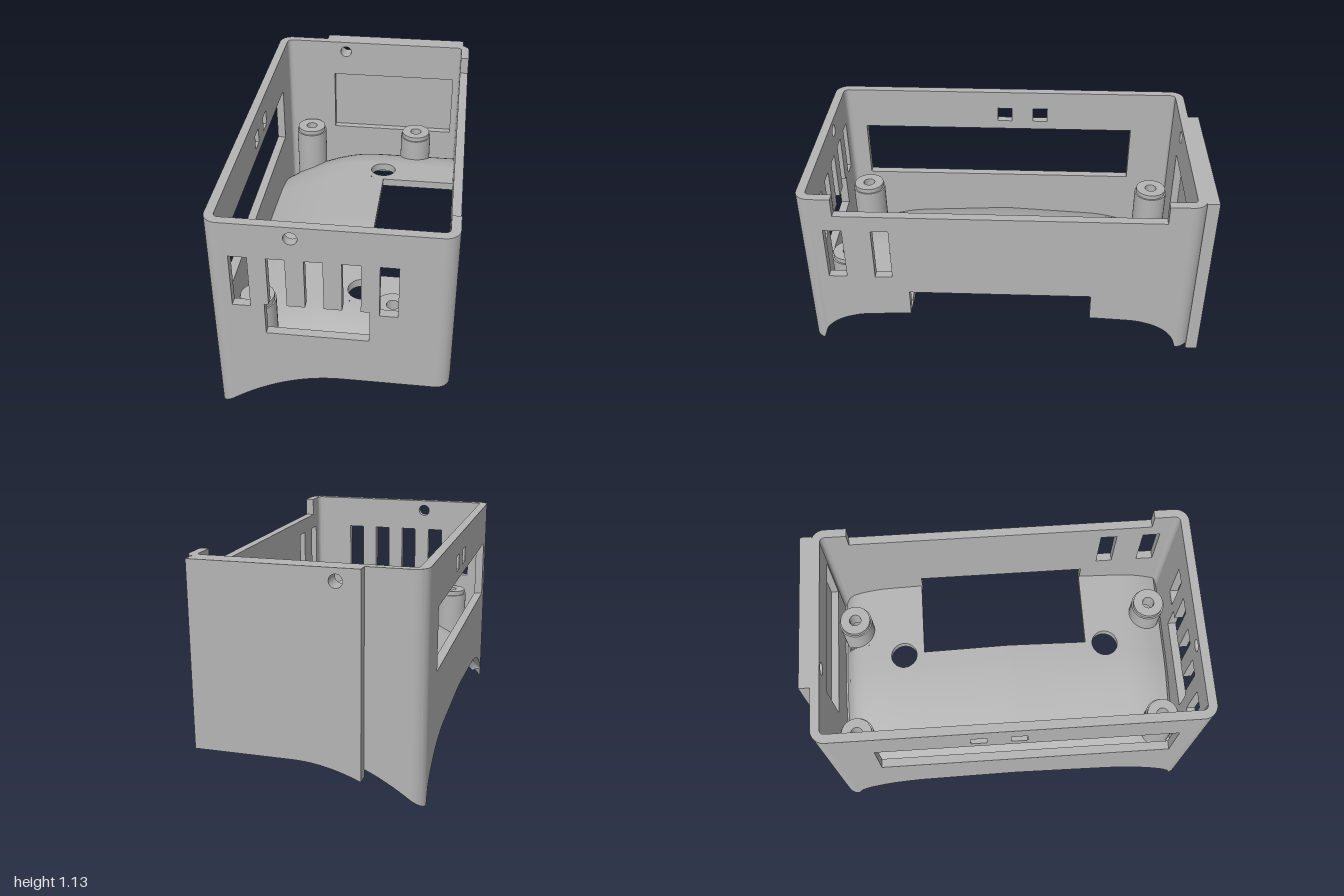
import * as THREE from 'three';
import { toCreasedNormals } from 'three/addons/utils/BufferGeometryUtils.js';

const HX = 0.565, ZF = 1, ZB = -0.945, TOP = 1.13, WALL = 0.045, R = 0.07;
const clamp = THREE.MathUtils.clamp;

// Height of the arched underside at a plan position
function under(x, z) {
  const d = Math.min(Math.abs(z - 0.04), 0.91);
  const e = Math.max(0, (d - 0.66) / 0.25);
  const arch = 0.46 - 0.055 * Math.min(d, 0.75) - 0.17 * (1 - Math.sqrt(Math.max(0, 1 - e * e)));
  const t = clamp((0.05 - x) / 0.615, 0, 1);
  return Math.max(0, arch - (0.19 + 0.06 * THREE.MathUtils.smoothstep(d, 0.5, 0.88)) * t * t);
}

// Height of the floor's upper face
function over(x, z) {
  const s = (under(x, z + 0.01) - under(x, z - 0.01)) / 0.02;
  return under(x, z) + WALL * Math.min(1.8, Math.hypot(1, s));
}

// Drop all low vertices onto the underside surface
function fitBottom(geo, lift = 0) {
  const p = geo.attributes.position;
  for (let i = 0; i < p.count; i++) {
    if (p.getY(i) < 0.48) p.setY(i, under(p.getX(i), p.getZ(i)) + lift);
  }
  return toCreasedNormals(geo, 0.6);
}

const rect = (u0, u1, y0, y1) => [[u0, y0], [u1, y0], [u1, y1], [u0, y1]];
const toPath = (pts) => new THREE.Path(pts.map(([u, y]) => new THREE.Vector2(u, y)));

function roundHole(u, y, r) {
  const p = new THREE.Path();
  p.absarc(u, y, r, 0, Math.PI * 2);
  return p;
}

// Evenly stepped points along a wall's lower edge
function lowerEdge(u0, u1, height, n = 40) {
  return Array.from({ length: n + 1 }, (_, i) => {
    const u = u0 + (u1 - u0) * i / n;
    return [u, height(u)];
  });
}

function plate(outline, holes, depth) {
  const s = new THREE.Shape(outline.map(([u, y]) => new THREE.Vector2(u, y)));
  s.holes.push(...holes);
  return new THREE.ExtrudeGeometry(s, { depth, bevelEnabled: false, curveSegments: 20 });
}

// Quarter-round upright joining two walls
function cornerGeometry(sx, sz) {
  const s = new THREE.Shape();
  s.absarc(0, 0, R, 0, Math.PI / 2, false);
  s.absarc(0, 0, R - WALL, Math.PI / 2, 0, true);
  const g = new THREE.ExtrudeGeometry(s, { depth: TOP, bevelEnabled: false, curveSegments: 10 });
  g.rotateX(-Math.PI / 2);
  const turn = sx > 0 ? (sz > 0 ? -Math.PI / 2 : 0) : (sz > 0 ? Math.PI : Math.PI / 2);
  g.rotateY(turn);
  g.translate(sx * (HX - R), 0, sz > 0 ? ZF - R : ZB + R);
  return fitBottom(g);
}

const POSTS = [[-0.375, -0.8], [0.275, -0.8], [-0.375, 0.84], [0.275, 0.84]];
const OPEN = { x: 0.11, z0: -0.43, z1: 0.48 };

// Arched floor shell with round holes and a rectangular opening
function floorGeometry() {
  const x0 = -0.52, x1 = 0.52, z0 = -0.9, z1 = 0.955, q = 0.09;
  const holes = POSTS.map(([x, z]) => ({ x, z, r: 0.055 }));
  holes.push({ x: 0.1, z: -0.545, r: 0.072 }, { x: 0.1, z: 0.59, r: 0.072 });
  const out = [];
  const tri = (a, b, c) => out.push(...a, ...b, ...c);
  const at = (p, h) => [p[0], h(p[0], p[1]), p[1]];
  const quad = (a, b, c, d) => {
    const area = (c[0] - a[0]) * (d[1] - b[1]) - (c[1] - a[1]) * (d[0] - b[0]);
    const [e, f, g, k] = area > 0 ? [a, d, c, b] : [a, b, c, d];
    const t = [e, f, g, k].map((p) => at(p, over));
    const u = [e, f, g, k].map((p) => at(p, under));
    tri(t[0], t[1], t[2]); tri(t[0], t[2], t[3]);
    tri(u[0], u[2], u[1]); tri(u[0], u[3], u[2]);
  };
  const rim = (a, b) => {
    const [p, s, t, u] = [at(a, under), at(b, under), at(b, over), at(a, over)];
    tri(p, s, t); tri(p, t, u);
  };
  // Grid lines include every hole square and the opening's edges
  const lines = (lo, hi, step, extra) => {
    const all = [...extra, lo, hi];
    for (let v = lo; v < hi; v += step) if (all.every((w) => Math.abs(w - v) > step * 0.4)) all.push(v);
    return [...new Set(all.map((v) => +v.toFixed(4)))].sort((a, b) => a - b);
  };
  const xs = lines(x0, x1, 0.05, [OPEN.x, ...holes.flatMap((h) => [h.x - q, h.x + q])]);
  const zs = lines(z0, z1, 0.035, [OPEN.z0, OPEN.z1, ...holes.flatMap((h) => [h.z - q, h.z + q])]);
  for (let i = 0; i + 1 < xs.length; i++) {
    for (let j = 0; j + 1 < zs.length; j++) {
      const [a, b, c, d] = [xs[i], xs[i + 1], zs[j], zs[j + 1]];
      const mx = (a + b) / 2, mz = (c + d) / 2;
      if (holes.some((h) => Math.abs(mx - h.x) < q && Math.abs(mz - h.z) < q)) continue;
      if (mx > OPEN.x && mz > OPEN.z0 && mz < OPEN.z1) continue;
      quad([a, c], [b, c], [b, d], [a, d]);
    }
  }
  // Square-to-circle patches around the holes
  const N = 32, M = 3;
  for (const h of holes) {
    const pt = (i, k) => {
      const t = i / N * Math.PI * 2, c = Math.cos(t), s = Math.sin(t);
      const r = THREE.MathUtils.lerp(h.r, q / Math.max(Math.abs(c), Math.abs(s)), k / M);
      return [h.x + r * c, h.z + r * s];
    };
    for (let i = 0; i < N; i++) {
      for (let k = 0; k < M; k++) quad(pt(i, k), pt(i, k + 1), pt(i + 1, k + 1), pt(i + 1, k));
      rim(pt(i, 0), pt(i + 1, 0));
    }
  }
  // Cut faces of the rectangular opening
  for (let j = 0; j + 1 < zs.length; j++) {
    if (zs[j] >= OPEN.z0 && zs[j + 1] <= OPEN.z1) rim([OPEN.x, zs[j + 1]], [OPEN.x, zs[j]]);
  }
  rim([OPEN.x, OPEN.z0], [x1, OPEN.z0]);
  rim([x1, OPEN.z1], [OPEN.x, OPEN.z1]);
  const g = new THREE.BufferGeometry();
  g.setAttribute('position', new THREE.Float32BufferAttribute(out, 3));
  return toCreasedNormals(g, 0.5);
}

export function createModel() {
  const group = new THREE.Group();
  const grey = new THREE.MeshStandardMaterial({ color: 0xb4b4b4, side: THREE.DoubleSide });
  grey.name = 'grey plastic';
  const add = (name, geo) => {
    const m = new THREE.Mesh(geo, grey);
    m.name = name;
    group.add(m);
  };
  const ex = HX - R, zf = ZF - R, zb = ZB + R;

  // Front wall: outer slots, three slots joined to a wide port, screw hole
  const port = [[-0.305, 0.51], [0.18, 0.51], [0.18, 0.685], [0.14, 0.685], [0.14, 0.95], [0.055, 0.95],
    [0.055, 0.685], [-0.03, 0.685], [-0.03, 0.95], [-0.115, 0.95], [-0.115, 0.685], [-0.2, 0.685],
    [-0.2, 0.95], [-0.285, 0.95], [-0.285, 0.685], [-0.305, 0.685]];
  const front = plate([...lowerEdge(-ex, ex, (x) => under(x, 1)), [ex, TOP], [-ex, TOP]],
    [toPath(port), toPath(rect(-0.455, -0.37, 0.67, 0.95)), toPath(rect(0.225, 0.31, 0.67, 0.95)),
      roundHole(-0.17, 1.07, 0.032)], WALL);
  add('frontWall', fitBottom(front.translate(0, 0, ZF - WALL)));

  // Back wall with inner recess, closed by a raised outer plate
  const back = plate([...lowerEdge(-ex, ex, (x) => under(x, ZB)), [ex, TOP], [-ex, TOP]],
    [toPath(rect(-0.24, 0.48, 0.555, 0.92)), roundHole(-0.17, 1.07, 0.032)], WALL);
  add('backWall', fitBottom(back.translate(0, 0, ZB)));
  const cover = plate([...lowerEdge(-0.285, 0.53, (x) => under(x, -1) - 0.04), [0.53, TOP], [-0.285, TOP]],
    [roundHole(-0.17, 1.07, 0.032)], 0.06);
  add('backPlate', toCreasedNormals(cover.translate(0, 0, -1), 0.4));

  // Side wall with two slots, a notched top and a cut-out below
  const notched = plate([
    ...lowerEdge(zb, -0.425, (z) => under(HX, z)), [-0.425, 0.575], [0.485, 0.575],
    ...lowerEdge(0.485, zf, (z) => under(HX, z)),
    [zf, TOP], [0.825, TOP], [0.825, 1.035], [-0.765, 1.035], [-0.765, TOP], [zb, TOP]],
  [toPath(rect(0.79, 0.88, 0.67, 0.95)), toPath(rect(0.565, 0.65, 0.67, 0.95))], WALL);
  add('notchedSideWall', fitBottom(notched.rotateY(-Math.PI / 2).translate(HX, 0, 0)));

  // Opposite side wall with a long window and two small square holes
  const windowed = plate([...lowerEdge(zb, zf, (z) => under(-HX, z), 60), [zf, TOP], [zb, TOP]],
    [toPath(rect(-0.67, 0.85, 0.585, 0.9)), toPath(rect(-0.19, -0.11, 0.95, 1.03)),
      toPath(rect(0.01, 0.09, 0.95, 1.03))], WALL);
  add('windowSideWall', fitBottom(windowed.rotateY(-Math.PI / 2).translate(-HX + WALL, 0, 0)));

  // Rounded corners
  for (const sx of [-1, 1]) for (const sz of [-1, 1]) add('corner', cornerGeometry(sx, sz));

  add('floor', floorGeometry());

  // Hollow screw posts with a stepped rim
  const profile = [[0.055, 0], [0.055, 0.5], [0.032, 0.5], [0.032, 0.605], [0.082, 0.605],
    [0.082, 0.58], [0.09, 0.58], [0.09, 0]].map(([r, y]) => new THREE.Vector2(r, y));
  for (const [x, z] of POSTS) {
    add('screwPost', fitBottom(new THREE.LatheGeometry(profile, 32).translate(x, 0, z), 0.01));
  }
  return group;
}
